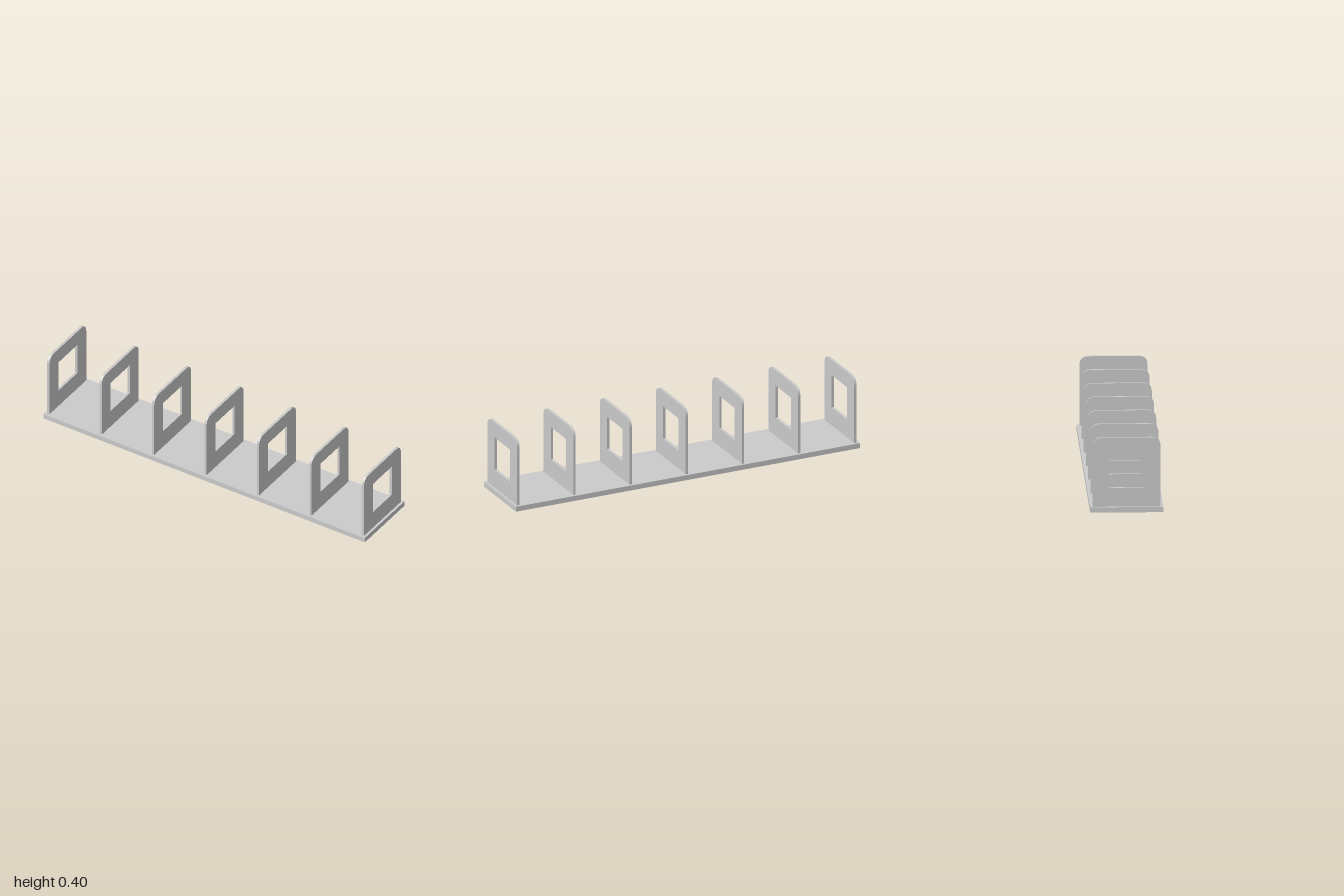
import * as THREE from 'three';

const BASE_HEIGHT = 0.028;
const TOP = 0.398;
const HALF_DEPTH = 0.178;
const RADIUS = 0.05;
const THICKNESS = 0.014;
const COUNT = 7;
const END_X = 0.979;

// Thin-walled base tray, open underneath
function baseGeometry() {
  const geometry = new THREE.BoxGeometry(2, BASE_HEIGHT, 0.384);
  const index = Array.from(geometry.index.array);
  index.splice(18, 6); // the two triangles of the bottom face
  geometry.setIndex(index);
  geometry.clearGroups();
  geometry.translate(0, BASE_HEIGHT / 2, 0);
  return geometry;
}

// Upright plate: rounded top corners and a square window
function dividerGeometry() {
  const shape = new THREE.Shape();
  shape.moveTo(-HALF_DEPTH, BASE_HEIGHT);
  shape.lineTo(HALF_DEPTH, BASE_HEIGHT);
  shape.lineTo(HALF_DEPTH, TOP - RADIUS);
  shape.quadraticCurveTo(HALF_DEPTH, TOP, HALF_DEPTH - RADIUS, TOP);
  shape.lineTo(-HALF_DEPTH + RADIUS, TOP);
  shape.quadraticCurveTo(-HALF_DEPTH, TOP, -HALF_DEPTH, TOP - RADIUS);
  shape.closePath();

  const hole = new THREE.Path();
  hole.moveTo(-0.092, 0.129);
  hole.lineTo(-0.092, 0.312);
  hole.lineTo(0.092, 0.312);
  hole.lineTo(0.092, 0.129);
  hole.closePath();
  shape.holes.push(hole);

  const geometry = new THREE.ExtrudeGeometry(shape, {
    depth: THICKNESS, bevelEnabled: false, curveSegments: 6,
  });
  geometry.translate(0, 0, -THICKNESS / 2);
  geometry.rotateY(Math.PI / 2);
  return geometry;
}

export function createModel() {
  const model = new THREE.Group();
  model.name = 'dividerRack';

  // Base board, seen from inside as well
  const base = new THREE.Mesh(
    baseGeometry(),
    new THREE.MeshStandardMaterial({ color: 0xcccccc, side: THREE.DoubleSide }),
  );
  base.name = 'base';
  model.add(base);

  // Evenly spaced dividers
  const geometry = dividerGeometry();
  const material = new THREE.MeshStandardMaterial({ color: 0xcccccc });
  for (let i = 0; i < COUNT; i++) {
    const divider = new THREE.Mesh(geometry, material);
    divider.name = `divider${i + 1}`;
    divider.position.x = -END_X + (2 * END_X * i) / (COUNT - 1);
    model.add(divider);
  }
  return model;
}
